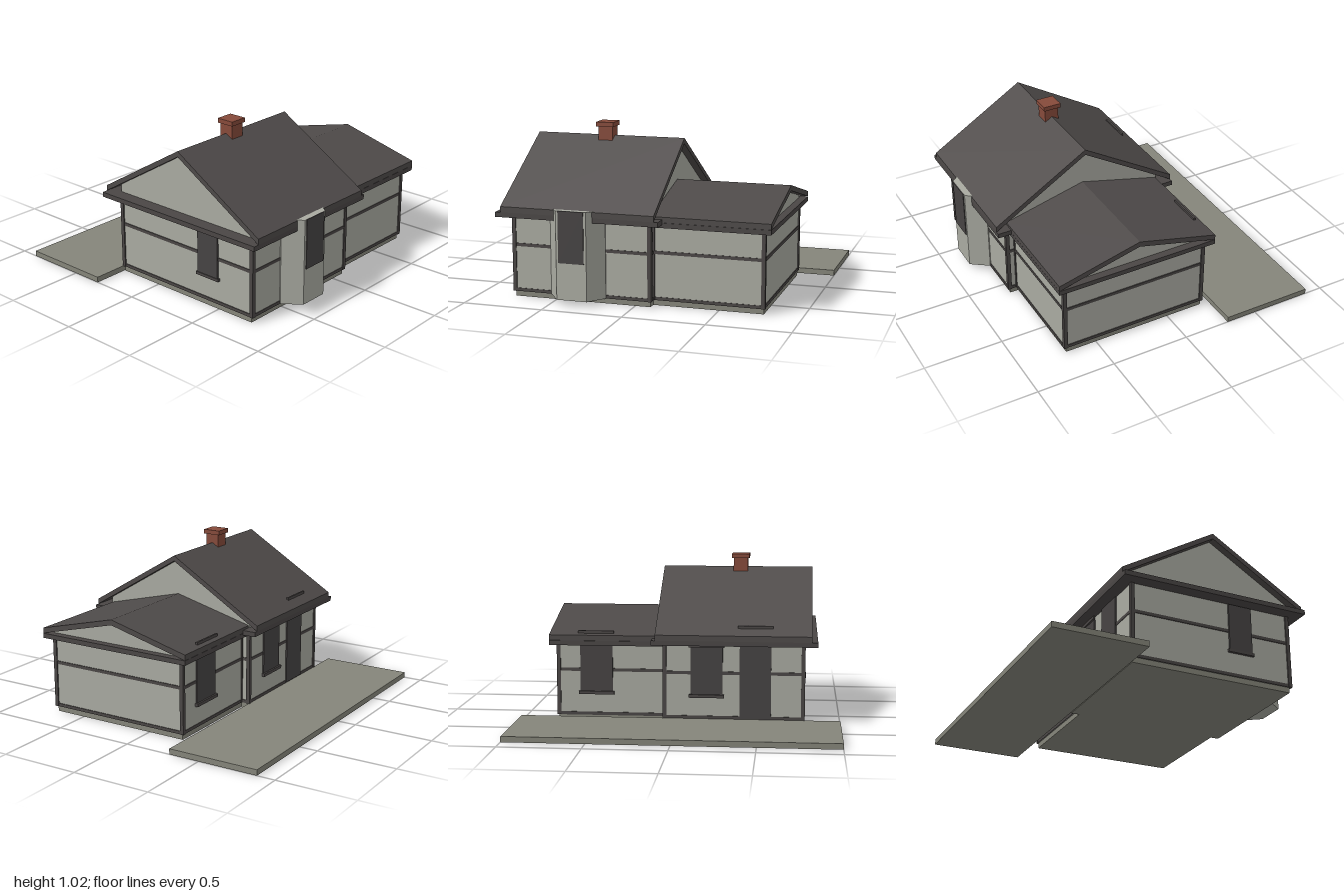
import * as THREE from 'three';

const material = (name, color) => {
  const m = new THREE.MeshStandardMaterial({ color });
  m.name = name;
  return m;
};

export function createModel() {
  const house = new THREE.Group();
  house.name = 'house';
  const wallMat = material('pale plaster', 0xa9aaa1);
  const roofMat = material('dark roof', 0x4e4a49);
  const trimMat = material('dark timber', 0x4a4645);
  const paneMat = material('dark opening', 0x464343);
  const stoneMat = material('grey stone', 0x85857a);
  const brickMat = material('red brick', 0x864a3a);
  const ridgeZ = 0.2325;

  const add = (name, geometry, mat) => {
    const mesh = new THREE.Mesh(geometry, mat);
    mesh.name = name;
    house.add(mesh);
    return mesh;
  };

  // Box given by its two extreme corners
  const box = (name, mat, x0, x1, y0, y1, z0, z1) => {
    const g = new THREE.BoxGeometry(x1 - x0, y1 - y0, z1 - z0);
    g.translate((x0 + x1) / 2, (y0 + y1) / 2, (z0 + z1) / 2);
    return add(name, g, mat);
  };

  // Cross-section of [z from ridge, y] points, drawn out along x
  const alongX = (name, mat, points, x0, x1) => {
    const shape = new THREE.Shape(points.map(([z, y]) => new THREE.Vector2(z, y)));
    const g = new THREE.ExtrudeGeometry(shape, { depth: x1 - x0, bevelEnabled: false });
    g.rotateY(-Math.PI / 2).translate(x1, 0, ridgeZ);
    return add(name, g, mat);
  };

  // Walls with gables, foundation, pitched roof, eave plate and timber frame of one wing
  const wing = (name, w) => {
    const { x0, x1, half, wallTop, peak, roof } = w;
    const zb = ridgeZ - half, zf = ridgeZ + half;
    box(name + 'Foundation', stoneMat, x0 + 0.01, x1 - 0.01, 0, 0.035, zb + 0.005, zf - 0.01);
    alongX(name + 'Walls', wallMat,
      [[-half, 0.034], [half, 0.034], [half, wallTop], [0, peak], [-half, wallTop]], x0 + 0.008, x1 - 0.008);
    alongX(name + 'Roof', roofMat, [
      [-roof.half, roof.eave - roof.thick], [0, roof.peak - roof.thick], [roof.half, roof.eave - roof.thick],
      [roof.half, roof.eave], [0, roof.peak], [-roof.half, roof.eave]], roof.x0, roof.x1);
    box(name + 'EavePlate', trimMat, w.plate.x0, w.plate.x1, w.plate.y, w.plate.y + 0.03,
      ridgeZ - roof.half, ridgeZ + roof.half);

    const t = 0.024, out = 0.006;
    for (const px of [x0, x1 - t])
      for (const pz of [zb - out, zf + out - t])
        box(name + 'Post', trimMat, px, px + t, 0.034, w.plate.y, pz, pz + t);
    for (const y of [0.034, 0.315]) {
      for (const z of [zb - 0.003, zf + 0.003 - t])
        box(name + 'Rail', trimMat, x0 + t, x1 - t, y, y + 0.02, z, z + t);
      for (const x of [x0 + 0.003, x1 - 0.003 - t])
        box(name + 'SideRail', trimMat, x, x + t, y, y + 0.02, zb + t - out, zf - t + out);
    }
  };

  wing('main', {
    x0: -0.78, x1: 0.105, half: 0.532, wallTop: 0.585, peak: 0.91,
    roof: { x0: -0.82, x1: 0.145, half: 0.6125, eave: 0.57, peak: 0.94, thick: 0.035 },
    plate: { x0: -0.855, x1: 0.17, y: 0.505 },
  });
  wing('annex', {
    x0: 0.085, x1: 0.78, half: 0.478, wallTop: 0.53, peak: 0.652,
    roof: { x0: 0.1, x1: 0.82, half: 0.526, eave: 0.55, peak: 0.682, thick: 0.034 },
    plate: { x0: 0.1, x1: 0.82, y: 0.485 },
  });

  // Terrace behind the house
  box('terrace', stoneMat, -1, 1, 0, 0.035, -0.885, -0.3);

  // Chimney
  box('chimney', brickMat, -0.403, -0.31, 0.85, 1.0, 0.188, 0.28);
  box('chimneyCap', brickMat, -0.413, -0.3, 0.997, 1.025, 0.175, 0.29);

  // Front bay with slanted cheeks
  const bayShape = new THREE.Shape([
    [-0.53, -0.75], [-0.53, -0.77], [-0.45, -0.88], [-0.26, -0.88], [-0.18, -0.77], [-0.18, -0.75],
  ].map(([x, z]) => new THREE.Vector2(x, z)));
  const bay = new THREE.ExtrudeGeometry(bayShape, { depth: 0.54, bevelEnabled: false });
  bay.rotateX(-Math.PI / 2).translate(0, 0.034, 0);
  add('frontBay', bay, wallMat);
  box('bayWindow', paneMat, -0.435, -0.275, 0.26, 0.575, 0.878, 0.885);

  // Back openings: pane with a header, and a sill on windows
  const backOpening = (name, x0, x1, y0, y1, wallZ, sill) => {
    box(name, paneMat, x0 + 0.01, x1 - 0.01, y0, y1, wallZ - 0.008, wallZ + 0.01);
    box(name + 'Header', trimMat, x0, x1, y1, y1 + 0.02, wallZ - 0.018, wallZ - 0.006);
    if (sill) box(name + 'Sill', trimMat, x0, x1, y0 - 0.02, y0, wallZ - 0.02, wallZ);
  };
  backOpening('backDoor', -0.58, -0.365, 0.04, 0.605, -0.3, false);
  backOpening('mainBackWindow', -0.28, -0.06, 0.19, 0.485, -0.3, true);
  backOpening('annexBackWindow', 0.415, 0.64, 0.19, 0.555, -0.245, true);

  // Window on the outer side of the main wing
  box('sideWindow', paneMat, -0.784, -0.765, 0.2, 0.5, 0.345, 0.5);
  box('sideWindowSill', trimMat, -0.789, -0.765, 0.185, 0.203, 0.335, 0.51);

  return house;
}
